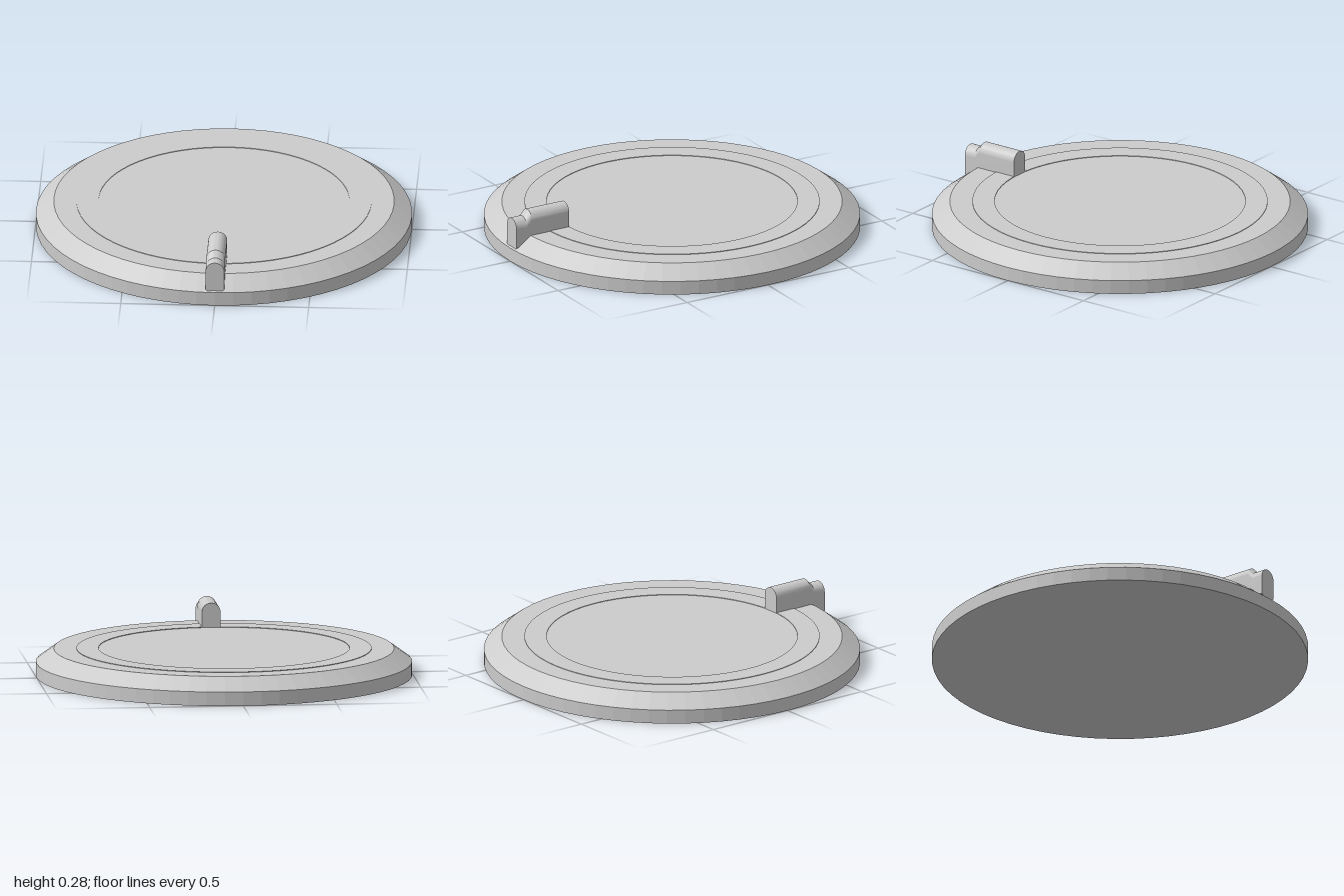
import * as THREE from 'three';
import { toCreasedNormals } from 'three/addons/utils/BufferGeometryUtils.js';

export function createModel() {
  const group = new THREE.Group();
  const add = (name, geometry, flatShading = false) => {
    const mesh = new THREE.Mesh(geometry, new THREE.MeshStandardMaterial({ color: 0xcccccc, flatShading }));
    mesh.name = name;
    group.add(mesh);
  };
  const lathe = (points) => new THREE.LatheGeometry(points.map(([r, y]) => new THREE.Vector2(r, y)), 64);

  // Round base with a chamfered rim
  add('base', lathe([[0, 0], [1, 0], [1, 0.075], [0.905, 0.144], [0, 0.144]]), true);

  // Very shallow raised ring on the top face
  add('raisedRing', lathe([[0.785, 0.143], [0.785, 0.147], [0.667, 0.147], [0.667, 0.143]]), true);

  // Pointer: an arched bar whose top steps down towards the rim
  const w = 0.05, bottom = 0.08, shoulder = 0.226, bevel = 0.01;
  const arch = new THREE.Shape();
  arch.moveTo(-w + bevel, bottom);
  arch.lineTo(w - bevel, bottom);
  arch.lineTo(w, bottom + bevel);
  arch.lineTo(w, shoulder);
  arch.absarc(0, shoulder, w, 0, Math.PI, false);
  arch.lineTo(-w, bottom + bevel);
  arch.closePath();
  const bar = new THREE.ExtrudeGeometry(arch, { depth: 3, steps: 3, curveSegments: 20, bevelEnabled: false });

  // Place the four sections along z and lower the arch of the outer two
  const sectionZ = [0.665, 0.895, 0.925, 0.99];
  const drop = [0, 0, 0.032, 0.032];
  const p = bar.attributes.position;
  for (let i = 0; i < p.count; i++) {
    const k = Math.round(p.getZ(i));
    if (p.getY(i) > 0.15) p.setY(i, p.getY(i) - drop[k]);
    p.setZ(i, sectionZ[k]);
  }
  add('pointer', toCreasedNormals(bar, 0.5));

  return group;
}
